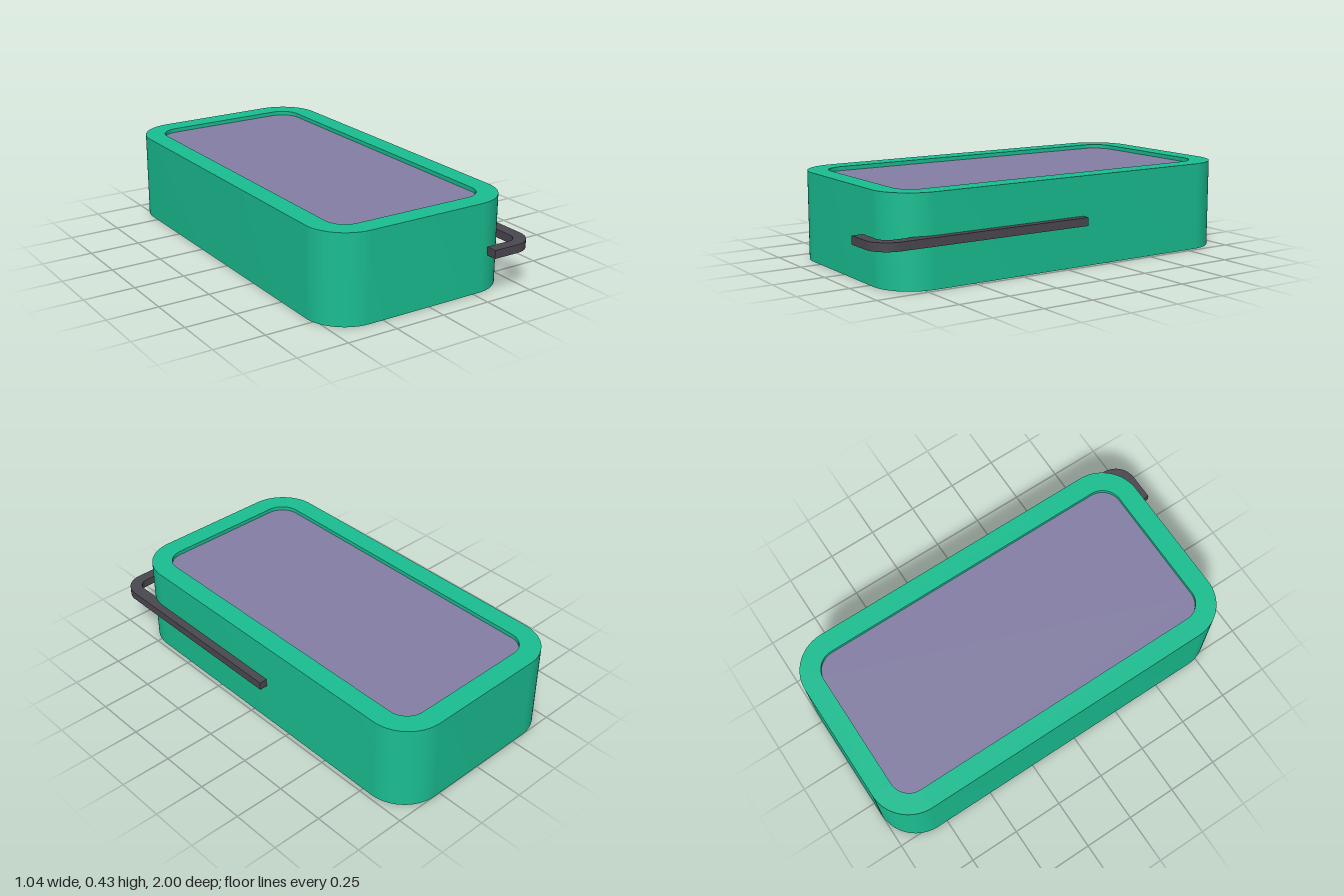
import * as THREE from 'three';
import { toCreasedNormals } from 'three/addons/utils/BufferGeometryUtils.js';

// Rounded rectangle in plan; shape y is the model's z
function roundedRect(P, x0, x1, z0, z1, r) {
  const p = new P();
  p.moveTo(x0 + r, z0);
  p.lineTo(x1 - r, z0);
  p.absarc(x1 - r, z0 + r, r, -Math.PI / 2, 0);
  p.lineTo(x1, z1 - r);
  p.absarc(x1 - r, z1 - r, r, 0, Math.PI / 2);
  p.lineTo(x0 + r, z1);
  p.absarc(x0 + r, z1 - r, r, Math.PI / 2, Math.PI);
  p.lineTo(x0, z0 + r);
  p.absarc(x0 + r, z0 + r, r, Math.PI, Math.PI * 1.5);
  return p;
}

// Plan shape extruded upwards between two heights
function slab(name, shape, y0, y1, color) {
  const geo = new THREE.ExtrudeGeometry(shape, { depth: y1 - y0, bevelEnabled: false, curveSegments: 16 });
  geo.rotateX(Math.PI / 2);
  geo.translate(0, y1, 0);
  const mesh = new THREE.Mesh(toCreasedNormals(geo, Math.PI / 6), new THREE.MeshStandardMaterial({ color }));
  mesh.name = name;
  return mesh;
}

export function createModel() {
  const group = new THREE.Group();
  group.name = 'caseWithClip';

  // Outer frame, open through the middle
  const frame = roundedRect(THREE.Shape, -0.52, 0.48, -1, 0.9, 0.2);
  frame.holes.push(roundedRect(THREE.Path, -0.42, 0.38, -0.9, 0.8, 0.1));
  group.add(slab('frame', frame, 0, 0.43, 0x1abf92));

  // Core filling the frame, slightly recessed at the top
  const core = roundedRect(THREE.Shape, -0.42, 0.38, -0.9, 0.8, 0.1);
  group.add(slab('core', core, 0, 0.41, 0x8580a6));

  // Bent clip along the left side and around the front corner
  const clip = new THREE.Shape();
  clip.moveTo(0.46, -0.1);
  clip.lineTo(0.52, -0.1);
  clip.lineTo(0.52, 0.89);
  clip.absarc(0.41, 0.89, 0.11, 0, Math.PI / 2);
  clip.lineTo(0.28, 1);
  clip.lineTo(0.28, 0.945);
  clip.lineTo(0.405, 0.945);
  clip.absarc(0.405, 0.89, 0.055, Math.PI / 2, 0, true);
  group.add(slab('clip', clip, 0.2, 0.24, 0x4b4850));

  return group;
}
